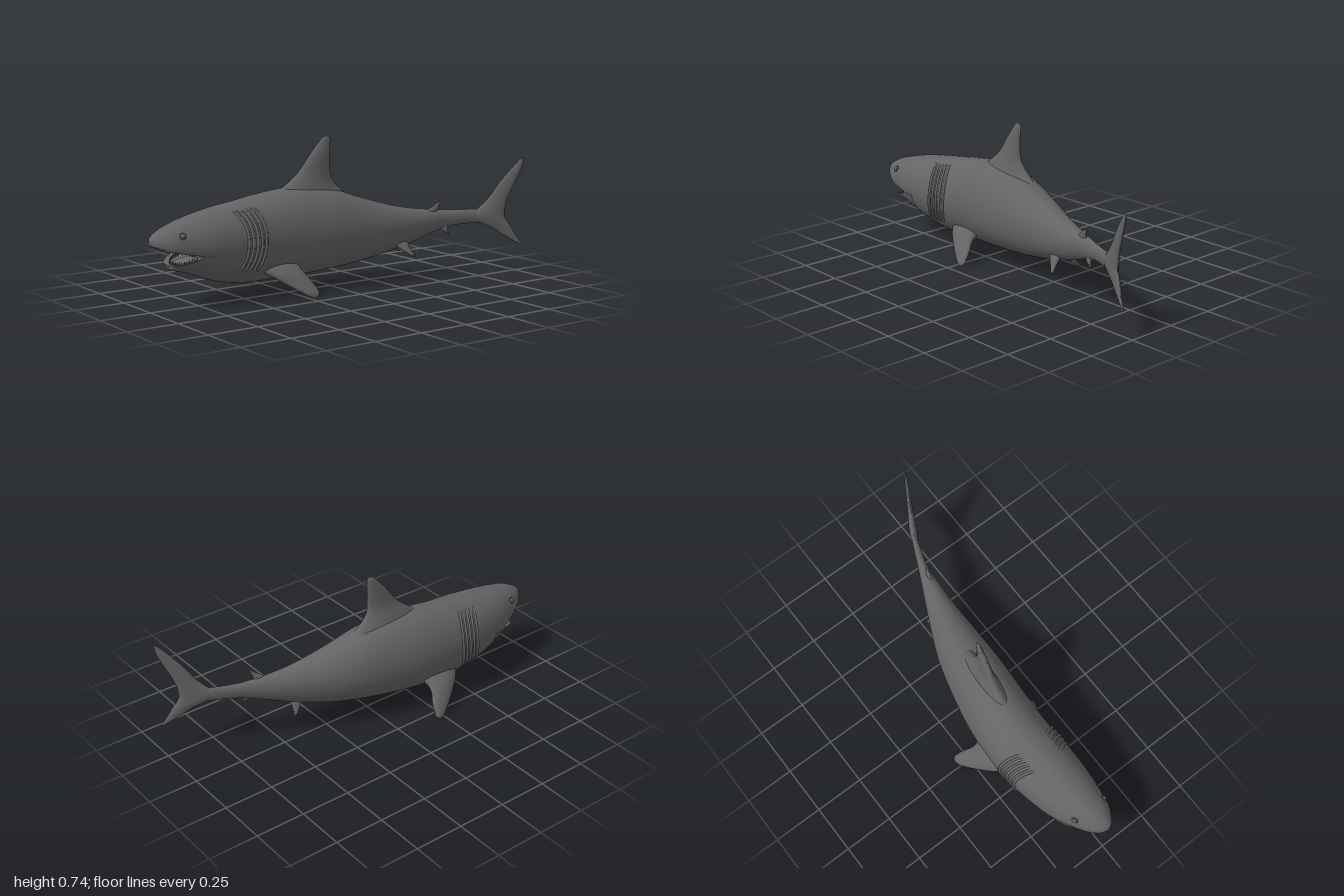
import * as THREE from 'three';
import { toCreasedNormals } from 'three/addons/utils/BufferGeometryUtils.js';

const V = (x, y, z) => new THREE.Vector3(x, y, z);
const clamp = THREE.MathUtils.clamp;

// Skin a list of closed rings, cap both ends, and face it outward
function loft(rings, crease = 0.9) {
  const n = rings[0].length, pos = [], idx = [];
  rings.forEach(r => r.forEach(p => pos.push(p.x, p.y, p.z)));
  for (let i = 0; i < rings.length - 1; i++) {
    for (let k = 0; k < n; k++) {
      const a = i * n + k, b = i * n + (k + 1) % n;
      idx.push(a, b, a + n, b, b + n, a + n);
    }
  }
  [0, rings.length - 1].forEach((i, end) => {
    const c = V(0, 0, 0);
    rings[i].forEach(p => c.addScaledVector(p, 1 / n));
    const m = pos.length / 3;
    pos.push(c.x, c.y, c.z);
    for (let k = 0; k < n; k++) {
      const a = i * n + k, b = i * n + (k + 1) % n;
      end ? idx.push(a, b, m) : idx.push(b, a, m);
    }
  });
  const at = i => V(pos[i * 3], pos[i * 3 + 1], pos[i * 3 + 2]);
  let volume = 0;
  for (let i = 0; i < idx.length; i += 3) volume += at(idx[i]).dot(at(idx[i + 1]).cross(at(idx[i + 2])));
  if (volume < 0) idx.reverse();
  const g = new THREE.BufferGeometry();
  g.setAttribute('position', new THREE.Float32BufferAttribute(pos, 3));
  g.setIndex(idx);
  return toCreasedNormals(g, crease);
}

// Stations: z, centre x, half width, top y, widest y, bottom y
const BODY = [
  [-0.9, 0.25, 0.006, 0.32, 0.3, 0.28], [-0.8, 0.198, 0.015, 0.335, 0.3, 0.265],
  [-0.7, 0.155, 0.02, 0.335, 0.3, 0.26], [-0.6, 0.118, 0.03, 0.34, 0.295, 0.24],
  [-0.4, 0.063, 0.073, 0.365, 0.275, 0.17], [-0.2, 0.017, 0.118, 0.42, 0.27, 0.12],
  [0, -0.015, 0.146, 0.485, 0.275, 0.09], [0.2, -0.042, 0.16, 0.505, 0.275, 0.075],
  [0.4, -0.052, 0.163, 0.483, 0.275, 0.07], [0.5, -0.045, 0.165, 0.468, 0.275, 0.075],
  [0.6, -0.04, 0.16, 0.455, 0.275, 0.09], [0.7, -0.032, 0.148, 0.44, 0.28, 0.12],
  [0.8, -0.022, 0.128, 0.42, 0.28, 0.165], [0.9, -0.007, 0.094, 0.393, 0.295, 0.23],
  [0.95, -0.004, 0.066, 0.372, 0.305, 0.265], [0.985, 0, 0.036, 0.352, 0.315, 0.295],
  [1, 0, 0.004, 0.335, 0.33, 0.325],
];
const JAW = [
  [0.7, -0.032, 0.149, 0.44, 0.28, 0.119], [0.8, -0.022, 0.124, 0.3, 0.265, 0.16],
  [0.86, -0.015, 0.095, 0.27, 0.235, 0.175], [0.89, -0.01, 0.06, 0.24, 0.215, 0.187],
  [0.9, -0.008, 0.01, 0.21, 0.205, 0.2],
];
function stations(table) {
  const a = new THREE.CatmullRomCurve3(table.map(r => V(r[0], r[1], r[2])), false, 'catmullrom', 0.5);
  const b = new THREE.CatmullRomCurve3(table.map(r => V(r[3], r[4], r[5])), false, 'catmullrom', 0.5);
  return t => {
    const p = a.getPoint(t), q = b.getPoint(t);
    return { z: p.x, x: p.y, w: p.z, top: q.x, mid: q.y, bot: q.z };
  };
}
const onRing = (s, a) => V(
  s.x + s.w * Math.cos(a),
  s.mid + Math.sin(a) * (Math.sin(a) > 0 ? s.top - s.mid : s.mid - s.bot), s.z);

// Heights of the two lips along the mouth
const upperLip = z => z < 0.93 ? 0.25 + 0.03 * (z - 0.77) / 0.16 : 0.28 + 0.03 * (z - 0.93) / 0.07;
const lowerLip = z => 0.25 - 0.043 * clamp((z - 0.77) / 0.13, 0, 1);

function bodyRings(at, count, shape) {
  return Array.from({ length: count + 1 }, (_, i) => {
    const s = at(i / count);
    return Array.from({ length: 48 }, (_, k) => {
      const p = onRing(s, k / 48 * Math.PI * 2);
      shape(p, s, 1 - ((p.x - s.x) / s.w) ** 2);
      return p;
    });
  });
}

// Fin sections: leading point, trailing point, half thickness
function fin(sections, normal, steps = 20) {
  const curve = f => new THREE.CatmullRomCurve3(sections.map(f), false, 'catmullrom', 0.5);
  const lead = curve(s => V(...s[0])), trail = curve(s => V(...s[1])), thick = curve(s => V(s[2], 0, 0));
  const rings = Array.from({ length: steps + 1 }, (_, i) => {
    const t = i / steps, l = lead.getPoint(t), r = trail.getPoint(t), h = thick.getPoint(t).x;
    return Array.from({ length: 20 }, (_, k) => {
      const a = k / 20 * Math.PI * 2;
      return r.clone().lerp(l, (1 + Math.cos(a)) / 2).addScaledVector(normal, h * Math.sin(a));
    });
  });
  return loft(rings, 1.2);
}

export function createModel() {
  const shark = new THREE.Group();
  shark.name = 'shark';
  const skin = new THREE.MeshStandardMaterial({ color: 0x646464 });
  skin.name = 'grey skin';
  const add = (name, geometry, parent = shark) => {
    const m = new THREE.Mesh(geometry, skin);
    m.name = name;
    parent.add(m);
    return m;
  };
  const group = name => {
    const g = new THREE.Group();
    g.name = name;
    shark.add(g);
    return g;
  };

  // Body and snout, hollowed under the upper lip
  const bodyAt = stations(BODY), jawAt = stations(JAW);
  add('body', loft(bodyRings(bodyAt, 128, (p, s, mid) => {
    const lip = upperLip(s.z);
    if (s.z > 0.765 && p.y < lip) {
      p.y = lip + 0.018 * mid * clamp((s.z - 0.77) / 0.04, 0, 1) * clamp((0.96 - s.z) / 0.04, 0, 1);
    }
  })));
  // Lower jaw with a shallow floor
  add('lowerJaw', loft(bodyRings(jawAt, 40, (p, s, mid) => {
    const lip = lowerLip(s.z);
    if (p.y > lip) p.y = lip - 0.3 * Math.max(0, lip - s.bot) * mid * clamp((s.z - 0.75) / 0.05, 0, 1);
  })));
  const tongue = add('tongue', new THREE.SphereGeometry(1, 24, 12));
  tongue.scale.set(0.05, 0.012, 0.06);
  tongue.position.set(-0.018, 0.218, 0.81);
  tongue.rotation.x = 0.2;

  // Rows of teeth following both lips
  const teeth = group('teeth');
  const tooth = new THREE.ConeGeometry(0.006, 0.028, 6);
  for (let i = 0; i < 23; i++) {
    const a = (i / 22 - 0.5) * Math.PI * 0.94;
    const zu = 0.8 + 0.12 * Math.cos(a), zl = 0.79 + 0.085 * Math.cos(a);
    const up = add('upperTooth', tooth, teeth);
    up.position.set(-0.012 + 0.1 * Math.sin(a), upperLip(zu) + 0.002, zu);
    up.rotation.x = Math.PI;
    add('lowerTooth', tooth, teeth).position.set(-0.014 + 0.09 * Math.sin(a), lowerLip(zl) - 0.004, zl);
  }

  // Body station at a given z
  const stationAt = z => {
    let lo = 0, hi = 1;
    for (let i = 0; i < 30; i++) {
      const m = (lo + hi) / 2;
      if (bodyAt(m).z < z) lo = m; else hi = m;
    }
    return bodyAt(lo);
  };

  // Gill ridges and eyes on both sides
  const gills = group('gills');
  for (const side of [1, -1]) {
    for (let i = 0; i < 5; i++) {
      const pts = [];
      for (let k = 0; k <= 16; k++) {
        const u = k / 16, a = -0.75 + u * 1.85;
        const s = stationAt(0.545 - i * 0.025 + 0.04 * (2 * u - 1) ** 2);
        const p = onRing(s, side > 0 ? a : Math.PI - a);
        const sink = 1 - 0.04 * Math.abs(2 * u - 1) ** 6;
        p.x = s.x + (p.x - s.x) * sink;
        p.y = s.mid + (p.y - s.mid) * sink;
        pts.push(p);
      }
      add('gillRidge', new THREE.TubeGeometry(new THREE.CatmullRomCurve3(pts), 40, 0.0075, 8), gills);
    }
    const s = stationAt(0.87), a = 0.58;
    const spot = onRing(s, side > 0 ? a : Math.PI - a);
    const eye = add(side > 0 ? 'leftEye' : 'rightEye', new THREE.SphereGeometry(0.012, 16, 12));
    eye.position.copy(spot);
    const rim = add('eyeRim', new THREE.TorusGeometry(0.014, 0.003, 8, 20));
    rim.position.copy(spot);
    rim.lookAt(spot.x + side, spot.y + 0.5, spot.z + 0.35);
  }

  // Dorsal fins
  const X = V(1, 0, 0);
  add('dorsalFin', fin([
    [[-0.045, 0.46, 0.32], [-0.01, 0.46, -0.09], 0.055], [[-0.036, 0.525, 0.225], [-0.012, 0.515, -0.03], 0.037],
    [[-0.03, 0.575, 0.165], [-0.008, 0.57, -0.004], 0.024], [[-0.022, 0.66, 0.1], [-0.006, 0.65, 0], 0.018],
    [[-0.014, 0.725, 0.045], [-0.008, 0.72, -0.006], 0.01], [[-0.01, 0.742, 0.025], [-0.008, 0.741, 0.002], 0.003],
  ], X, 30));
  add('secondDorsalFin', fin([
    [[0.1, 0.325, -0.5], [0.118, 0.325, -0.59], 0.016], [[0.115, 0.355, -0.545], [0.122, 0.35, -0.585], 0.01],
    [[0.128, 0.384, -0.585], [0.13, 0.38, -0.598], 0.004],
  ], X));
  add('analFin', fin([
    [[0.115, 0.265, -0.57], [0.135, 0.265, -0.64], 0.014], [[0.135, 0.235, -0.605], [0.14, 0.235, -0.635], 0.008],
    [[0.144, 0.216, -0.63], [0.146, 0.215, -0.64], 0.003],
  ], X));

  // Tail fin, bent along the curve of the spine
  const tailRows = [
    [0.592, -0.985, -0.998, 0.003], [0.54, -0.94, -0.987, 0.008], [0.46, -0.88, -0.955, 0.011],
    [0.385, -0.832, -0.925, 0.014], [0.335, -0.785, -0.914, 0.018], [0.3, -0.75, -0.912, 0.02],
    [0.27, -0.785, -0.925, 0.018], [0.235, -0.855, -0.947, 0.013], [0.195, -0.91, -0.967, 0.009],
    [0.15, -0.98, -0.995, 0.003],
  ];
  const tailX = z => 0.2 + (-0.8 - z) * 0.53;
  add('tailFin', fin(tailRows.map(([y, l, t, h]) =>
    [[tailX(l), y, l], [tailX(t), y, t], h]), V(0.885, 0, 0.466), 50));

  // Pectoral fins, mirrored about the bent body's own axis
  for (const s of [1, -1]) {
    const row = (u, y, l, t, h) => [[-0.06 + s * u, y - 0.005, l], [-0.06 + s * u, y + 0.005, t], h];
    add(s > 0 ? 'leftPectoralFin' : 'rightPectoralFin', fin([
      row(0.07, 0.165, 0.47, 0.22, 0.045), row(0.15, 0.12, 0.4, 0.235, 0.03), row(0.2, 0.07, 0.33, 0.21, 0.02),
      row(0.24, 0.025, 0.262, 0.196, 0.011), row(0.253, 0.01, 0.228, 0.204, 0.004),
    ], V(s * 0.6, 0.8, 0)));
  }

  // Pelvic fins
  add('leftPelvicFin', fin([
    [[0.085, 0.2, -0.31], [0.1, 0.2, -0.4], 0.02], [[0.125, 0.16, -0.355], [0.13, 0.16, -0.4], 0.012],
    [[0.157, 0.131, -0.39], [0.16, 0.129, -0.41], 0.004],
  ], V(0.7, 0.7, 0)));
  add('rightPelvicFin', fin([
    [[0.04, 0.2, -0.35], [0.05, 0.2, -0.43], 0.018], [[0.022, 0.16, -0.385], [0.025, 0.16, -0.43], 0.011],
    [[0.003, 0.132, -0.42], [0.002, 0.13, -0.438], 0.004],
  ], V(-0.7, 0.7, 0)));

  return shark;
}
